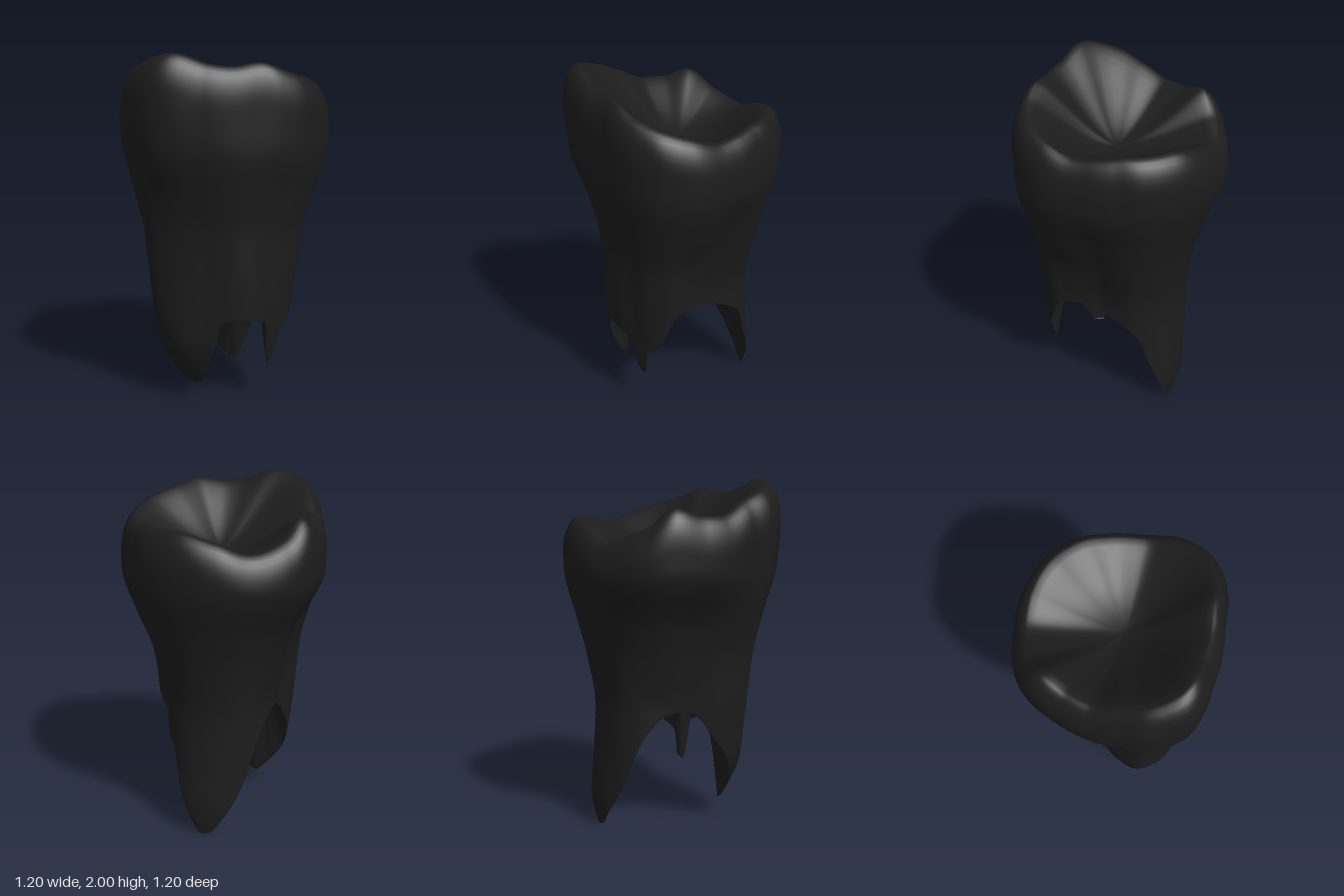
import * as THREE from 'three';
import { mergeVertices } from 'three/addons/utils/BufferGeometryUtils.js';

// Smooth curve through [position, value] knots without overshoot
function curve(knots) {
  const n = knots.length;
  const slope = i => (knots[i + 1][1] - knots[i][1]) / (knots[i + 1][0] - knots[i][0]);
  const tangent = i => {
    const a = slope(Math.max(i - 1, 0)), b = slope(Math.min(i, n - 2));
    return a * b <= 0 ? 0 : 2 * a * b / (a + b);
  };
  const m = knots.map((_, i) => tangent(i));
  return x => {
    if (x <= knots[0][0]) return knots[0][1];
    if (x >= knots[n - 1][0]) return knots[n - 1][1];
    let i = 0;
    while (x > knots[i + 1][0]) i++;
    const d = knots[i + 1][0] - knots[i][0], t = (x - knots[i][0]) / d, u = 1 - t;
    return knots[i][1] * (1 + 2 * t) * u * u + m[i] * d * t * u * u
      + knots[i + 1][1] * t * t * (3 - 2 * t) - m[i + 1] * d * t * t * u;
  };
}

// Same, closed around 360 degrees
function ringCurve(knots) {
  const shift = (k, d) => [k[0] + d, k[1]];
  return curve([...knots.slice(-2).map(k => shift(k, -360)), ...knots,
    ...knots.slice(0, 2).map(k => shift(k, 360))]);
}

// Cross-sections: height, then the radius at each angle from +x towards +z
const ANGLES = [0, 15, 30, 45, 60, 90, 120, 135, 150, 180, 210, 240, 270, 300, 315, 330];
const sections = [
  [0, .34, .34, .34, .34, .34, .24, .24, .26, .33, .33, .36, .42, .43, .41, .38, .33],
  [.18, .36, .37, .37, .37, .37, .35, .375, .37, .36, .33, .38, .43, .455, .41, .37, .33],
  [.4, .38, .41, .42, .42, .425, .41, .455, .46, .41, .33, .38, .43, .44, .395, .35, .32],
  [.7, .39, .445, .455, .435, .44, .415, .47, .50, .45, .345, .38, .43, .425, .39, .345, .32],
  [1.0, .435, .48, .475, .45, .445, .435, .50, .535, .475, .395, .435, .465, .47, .445, .41, .38],
  [1.2, .52, .535, .52, .485, .475, .48, .545, .58, .53, .45, .50, .52, .52, .50, .47, .45],
  [1.5, .60, .605, .58, .545, .52, .55, .65, .65, .605, .60, .63, .61, .595, .575, .555, .555],
  [1.7, .595, .605, .585, .55, .52, .56, .67, .66, .615, .605, .635, .615, .60, .58, .555, .555],
].map(([y, ...radii]) => ({ y, ring: ringCurve(radii.map((r, i) => [ANGLES[i], r])) }));

// Height of the crown's rim around the tooth
const rimHeight = ringCurve([[0, 1.81], [15, 1.85], [35, 1.9], [55, 1.95], [75, 1.93], [90, 1.945],
  [110, 2], [130, 1.95], [150, 1.87], [168, 1.8], [180, 1.8], [197, 1.84], [215, 1.73],
  [235, 1.68], [255, 1.74], [280, 1.79], [305, 1.79], [325, 1.77], [340, 1.76]]);

// Lower edge: the broad front root, its thin spike, the side arches and the back root
const lowerEdge = ringCurve([[0, .71], [10, .66], [16, .56], [22, .48], [28, .44], [33, .4],
  [36, .25], [40, .23], [43, .26], [45, .4], [47, .49], [72, .52], [82, .49], [88, .35], [96, .2],
  [103, .12], [115, .1], [130, .2], [141, .33], [150, .45], [160, .55], [170, .65], [182, .7],
  [200, .69], [216, .6], [225, .49], [234, .32], [243, .19], [252, .09], [261, .01], [268, 0],
  [274, .08], [286, .31], [294, .5], [308, .6], [330, .67], [348, .71]]);

// How steeply the inner faces rise: thin front root, thick back root
const innerRise = ringCurve([[0, 3], [30, 6], [60, 6], [125, 6], [180, 3], [240, 2], [300, 2]]);

const SEGMENTS = 240, FLOOR = 1.6, VAULT = .715, ROUND = .2, CREST = .83;

// One line down the skin: chewing surface, rim, outer wall, then up inside the roots
function skinLine(deg) {
  const rim = rimHeight(deg), low = lowerEdge(deg);
  const across = curve(sections.map(s => [s.y, s.ring(deg)]));
  const points = [];
  // basin of the chewing surface, steeper at the back
  const steep = 1.9 - .4 * Math.sin(THREE.MathUtils.degToRad(deg));
  for (let i = 0; i < 14; i++) {
    const s = i / 14;
    points.push([across(rim - ROUND) * CREST * s, FLOOR + (rim - FLOOR) * (1 - (1 - s ** steep) ** 1.3)]);
  }
  // rounded rim
  for (let i = 0; i < 8; i++) {
    const a = i / 8 * Math.PI / 2;
    points.push([across(rim - ROUND) * (CREST + (1 - CREST) * Math.sin(a)), rim - ROUND * (1 - Math.cos(a))]);
  }
  // outer wall
  for (let i = 0; i <= 32; i++) {
    const y = THREE.MathUtils.lerp(rim - ROUND, low, i / 32);
    points.push([across(y), y]);
  }
  // hollow between the roots
  for (let i = 1; i <= 18; i++) {
    const s = (i / 18) ** 1.8;
    points.push([across(low) * (1 - s), low + (VAULT - low) * (1 - (1 - s) ** innerRise(deg))]);
  }
  return points;
}

function skinGeometry() {
  const positions = [], index = [];
  let rows = 0;
  for (let j = 0; j < SEGMENTS; j++) {
    const deg = j * 360 / SEGMENTS, a = THREE.MathUtils.degToRad(deg);
    const line = skinLine(deg);
    rows = line.length;
    for (const [r, y] of line) positions.push(r * Math.cos(a), y, r * Math.sin(a));
  }
  for (let j = 0; j < SEGMENTS; j++) {
    const here = j * rows, next = ((j + 1) % SEGMENTS) * rows;
    for (let i = 0; i < rows - 1; i++) {
      index.push(here + i, next + i, here + i + 1, next + i, next + i + 1, here + i + 1);
    }
  }
  const geometry = new THREE.BufferGeometry();
  geometry.setAttribute('position', new THREE.Float32BufferAttribute(positions, 3));
  geometry.setIndex(index);
  const merged = mergeVertices(geometry, 1e-5);
  merged.computeVertexNormals();
  return merged;
}

export function createModel() {
  const group = new THREE.Group();
  group.name = 'tooth';
  const skin = new THREE.Mesh(skinGeometry(), new THREE.MeshStandardMaterial({ color: 0x1c1c1c }));
  skin.name = 'crownAndRoots';
  group.add(skin);
  return group;
}
